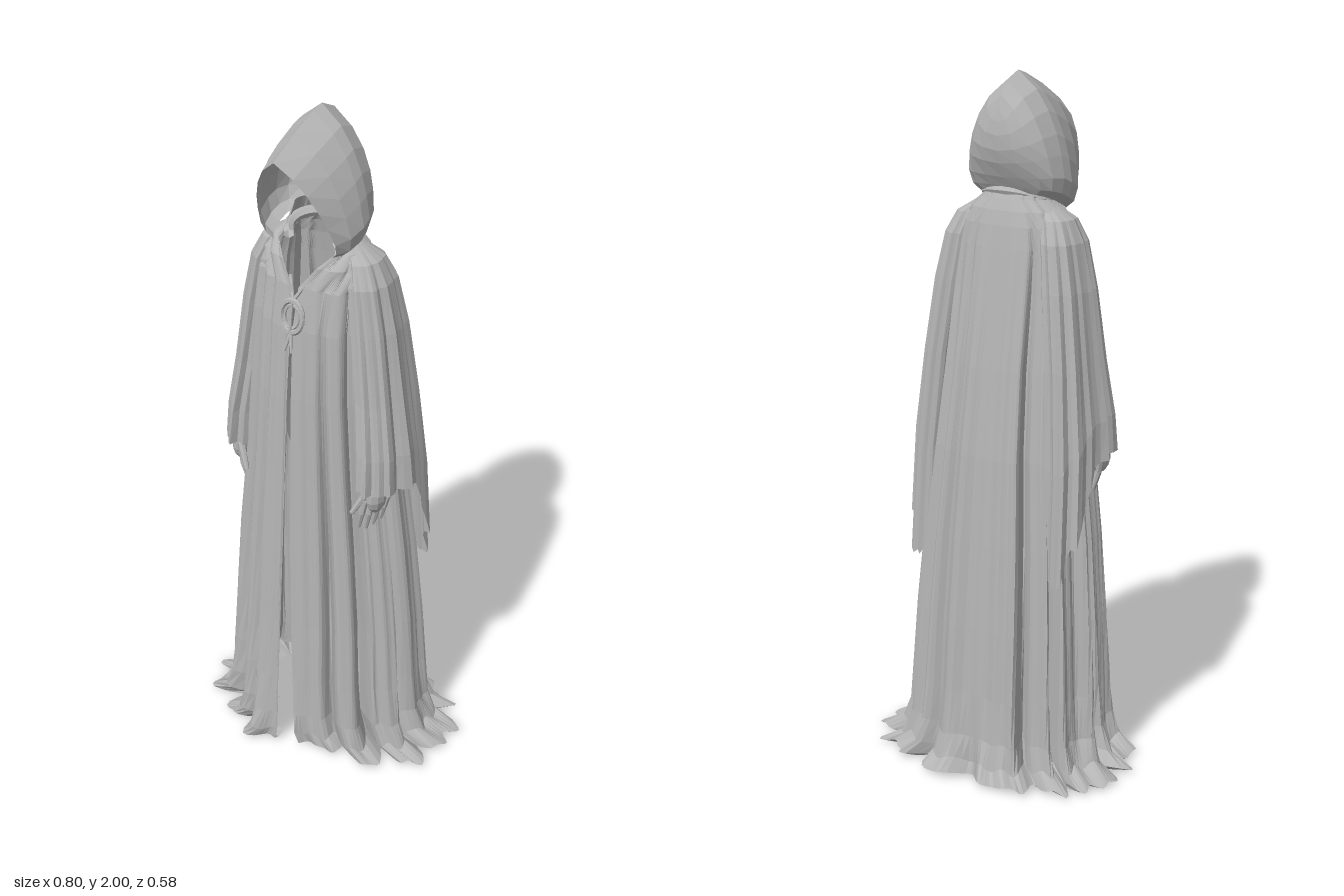
import * as THREE from 'three';

const cloth = new THREE.MeshStandardMaterial({ color: 0xb4b4b4, flatShading: true, side: THREE.DoubleSide });
cloth.name = 'grey cloth';
const CX = -0.015; // the figure leans slightly to its right

function add(parent, name, geometry) {
  const mesh = new THREE.Mesh(geometry, cloth);
  mesh.name = name;
  parent.add(mesh);
  return mesh;
}

// Surface through rows of points, each row an array of [x, y, z]
function sheet(rows) {
  const n = rows[0].length, index = [];
  for (let i = 0; i < rows.length - 1; i++)
    for (let j = 0; j < n - 1; j++) {
      const a = i * n + j, b = a + n;
      index.push(a, b, a + 1, b, b + 1, a + 1);
    }
  const g = new THREE.BufferGeometry();
  g.setAttribute('position', new THREE.Float32BufferAttribute(rows.flat(2), 3));
  g.setIndex(index);
  g.computeVertexNormals();
  return g;
}

const spow = (v, p) => Math.sign(v) * Math.abs(v) ** p;

// Irregular hanging folds around the body, shallower across the back and the front panels
const folds = (a, y) =>
  (0.5 * Math.sin(11 * a + 0.6 * y) * (1 + 0.5 * Math.sin(2 * a + 1)) +
   0.4 * Math.sin(19 * a + 1.3) + 0.3 * Math.sin(31 * a + 2 + 0.5 * y)) *
  (1 - 0.55 * Math.cos(a) ** 2);

// Deep pleats tucked into the body: angle, depth, width
const pleats = [[0.95, 0.075, 0.06], [1.45, 0.06, 0.05], [2.2, 0.07, 0.06], [2.75, 0.03, 0.05],
  [3.75, 0.05, 0.06], [4.15, 0.07, 0.05], [4.8, 0.06, 0.05], [5.42, 0.08, 0.07], [5.8, 0.03, 0.05], [0.5, 0.03, 0.05]];
const tuck = (a) => pleats.reduce((sum, [at, depth, w]) => sum + depth * Math.exp(-(((a - at) / w) ** 2)), 0);

// Robe: y, half width, front z, back z, half opening angle, fold depth, hem raggedness
function robe() {
  const levels = [
    [1.72, 0.080, 0.08, -0.012, 1.15, 0, 0],
    [1.66, 0.105, 0.10, -0.04, 0.95, 0.001, 0],
    [1.63, 0.145, 0.12, -0.052, 0.72, 0.001, 0],
    [1.59, 0.172, 0.138, -0.062, 0.36, 0.002, 0],
    [1.53, 0.187, 0.152, -0.072, 0.06, 0.004, 0],
    [1.41, 0.195, 0.170, -0.090, 0, 0.008, 0],
    [1.20, 0.205, 0.185, -0.122, 0, 0.014, 0],
    [0.95, 0.226, 0.197, -0.154, 0, 0.018, 0],
    [0.70, 0.254, 0.210, -0.177, 0, 0.021, 0],
    [0.45, 0.274, 0.222, -0.197, 0.02, 0.024, 0],
    [0.25, 0.285, 0.234, -0.211, 0.05, 0.026, 0],
    [0.12, 0.296, 0.242, -0.222, 0.08, 0.028, 0.2],
    [0.05, 0.322, 0.246, -0.238, 0.10, 0.030, 0.6],
    [0.015, 0.392, 0.246, -0.264, 0.12, 0.032, 1],
    [0.004, 0.350, 0.220, -0.235, 0.14, 0.026, 0.7],
    [0.012, 0.270, 0.180, -0.180, 0.18, 0.012, 0],
  ];
  const N = 190;
  return sheet(levels.map(([y, rx, zf, zb, gap, depth, rag]) => {
    const row = [], low = 1 - y / 1.72;
    for (let j = 0; j <= N; j++) {
      const a = gap + (2 * Math.PI - 2 * gap) * j / N;
      const s = Math.sin(a), c = Math.cos(a);
      const zc = (zf + zb) / 2, rz = (zf - zb) / 2;
      const p = c > 0 ? 1.12 : 0.85; // tapered front, broad back
      const d = depth * folds(a, y) - Math.min(1, low * 1.6) * tuck(a)
        + 0.03 * rag * Math.sin(7 * a + 1) * Math.sin(24 * a);
      // the right front panel stands further forward
      const panel = c > 0 ? 0.03 * low * c * (s < 0 ? 1 : -1) : 0;
      row.push([
        CX * (0.3 + y * 0.5) + (rx + d) * spow(s, p),
        Math.max(0, y + 0.015 * rag * Math.sin(29 * a) * Math.min(1, y * 20)),
        zc + (rz + d) * spow(c, 0.85) + panel,
      ]);
    }
    return row;
  }));
}

// Wide sleeve with a long point trailing behind the wrist
function sleeve(side) {
  // y, centre x, half width, centre z, half depth, trailing weight
  const levels = [
    [1.645, 0.105, 0.02, 0.03, 0.03, 0],
    [1.61, 0.14, 0.042, 0.03, 0.062, 0],
    [1.55, 0.16, 0.052, 0.028, 0.083, 0],
    [1.42, 0.18, 0.060, 0.024, 0.096, 0],
    [1.22, 0.205, 0.062, 0.020, 0.112, 0.05],
    [1.06, 0.225, 0.066, 0.018, 0.132, 0.45],
    [0.95, 0.230, 0.068, 0.012, 0.148, 1],
  ];
  const N = 44;
  return sheet(levels.map(([y, cx, rx, zc, rz, trail], i) => {
    const row = [];
    for (let j = 0; j <= N; j++) {
      const a = 2 * Math.PI * j / N;
      const d = 0.0013 * i * (Math.sin(9 * a + i * 0.15) + Math.sin(14 * a + 1));
      const z = zc + (rz + d) * Math.cos(a);
      const drop = trail * 0.33 * THREE.MathUtils.clamp((-z - 0.005) / 0.13, 0, 1);
      row.push([CX + side * (cx + (rx + d) * Math.sin(a)), y - drop + 0.012 * trail * Math.cos(a), z]);
    }
    return side < 0 ? row.reverse() : row;
  }));
}

// Hood: arches from the face opening to the back of the head
function hood() {
  // top y, top z, bottom y, bottom z, half width, backward bulge
  const arches = [
    [1.905, 0.228, 1.625, 0.112, 0.122, 0],
    [1.955, 0.14, 1.63, 0.09, 0.148, 0],
    [1.99, 0.06, 1.645, 0.055, 0.157, 0],
    [2.0, 0.025, 1.66, 0.025, 0.153, 0],
    [1.975, -0.028, 1.67, 0.0, 0.140, 0.012],
    [1.94, -0.052, 1.675, -0.014, 0.112, 0.024],
    [1.91, -0.062, 1.68, -0.022, 0.06, 0.028],
    [1.90, -0.065, 1.68, -0.024, 0.0, 0.030],
  ];
  const profile = [[0, 0], [0.14, 0.40], [0.3, 0.65], [0.48, 0.83], [0.64, 0.93], [0.82, 1], [0.94, 0.94], [1, 0.78]];
  return sheet(arches.map(([ty, tz, by, bz, w, bulge]) => {
    const half = (sd) => profile.map(([f, x]) => [
      CX - 0.007 + sd * w * x,
      ty + (by - ty) * f,
      tz + (bz - tz) * f - bulge * Math.sin(Math.PI * f),
    ]);
    return [...half(1).reverse(), ...half(-1).slice(1)];
  }));
}

// Rolled cloth where the hood meets the shoulders
function collar() {
  const pts = [];
  for (let j = 0; j <= 12; j++) {
    const a = 0.85 + (2 * Math.PI - 1.7) * j / 12;
    pts.push(new THREE.Vector3(CX + 0.098 * Math.sin(a), 1.68 - 0.026 * (1 + Math.cos(a)), 0.04 + 0.064 * Math.cos(a)));
  }
  return new THREE.TubeGeometry(new THREE.CatmullRomCurve3(pts), 24, 0.015, 6);
}

function rod(parent, name, from, to, r0, r1) {
  const a = new THREE.Vector3(...from), b = new THREE.Vector3(...to);
  const mesh = add(parent, name, new THREE.CylinderGeometry(r1, r0, a.distanceTo(b), 7));
  mesh.position.copy(a).add(b).multiplyScalar(0.5);
  mesh.quaternion.setFromUnitVectors(new THREE.Vector3(0, 1, 0), b.sub(a).normalize());
}

// Relaxed hand hanging out of the sleeve
function hand(side) {
  const g = new THREE.Group();
  g.name = side > 0 ? 'leftHand' : 'rightHand';
  rod(g, 'forearm', [side * 0.215, 1.2, 0.03], [side * 0.238, 0.98, 0.085], 0.035, 0.024);
  const palm = add(g, 'palm', new THREE.SphereGeometry(1, 10, 7));
  palm.scale.set(0.027, 0.055, 0.038);
  palm.position.set(side * 0.236, 0.94, 0.105);
  for (let i = 0; i < 4; i++) {
    const z = 0.078 + i * 0.018, x = 0.254 - i * 0.012;
    const len = [0.045, 0.06, 0.068, 0.06][i];
    const knuckle = [side * (x - 0.008), 0.92 - len * 0.55, z + 0.004];
    rod(g, 'finger', [side * x, 0.93, z], knuckle, 0.0105, 0.0095);
    rod(g, 'fingertip', knuckle, [side * (x - 0.022), 0.892 - len, z], 0.0095, 0.006);
  }
  rod(g, 'thumb', [side * 0.222, 0.955, 0.13], [side * 0.186, 0.885, 0.152], 0.012, 0.007);
  g.position.x = CX;
  return g;
}

// Oval ring clasp with cords
function clasp() {
  const g = new THREE.Group();
  g.name = 'clasp';
  const ring = add(g, 'claspRing', new THREE.TorusGeometry(0.036, 0.007, 6, 20));
  ring.scale.y = 1.25;
  const inner = add(g, 'claspInnerRing', new THREE.TorusGeometry(0.024, 0.004, 5, 16));
  inner.scale.y = 1.35;
  rod(g, 'claspPin', [0, -0.045, 0.004], [0, 0.045, 0.004], 0.004, 0.004);
  for (const s of [-1, 1]) {
    rod(g, 'cord', [0, 0.045, 0], [s * 0.03, 0.105, -0.022], 0.005, 0.005);
    rod(g, 'cordTail', [0, -0.045, 0], [s * 0.012, -0.1, 0.008], 0.005, 0.004);
  }
  g.position.set(CX, 1.45, 0.170);
  g.rotation.x = -0.13;
  return g;
}

export function createModel() {
  const model = new THREE.Group();
  model.name = 'hoodedRobe';
  add(model, 'robe', robe());
  add(model, 'hood', hood());
  add(model, 'collar', collar());
  for (const side of [1, -1]) {
    add(model, side > 0 ? 'leftSleeve' : 'rightSleeve', sleeve(side));
    model.add(hand(side));
  }
  model.add(clasp());
  return model;
}
